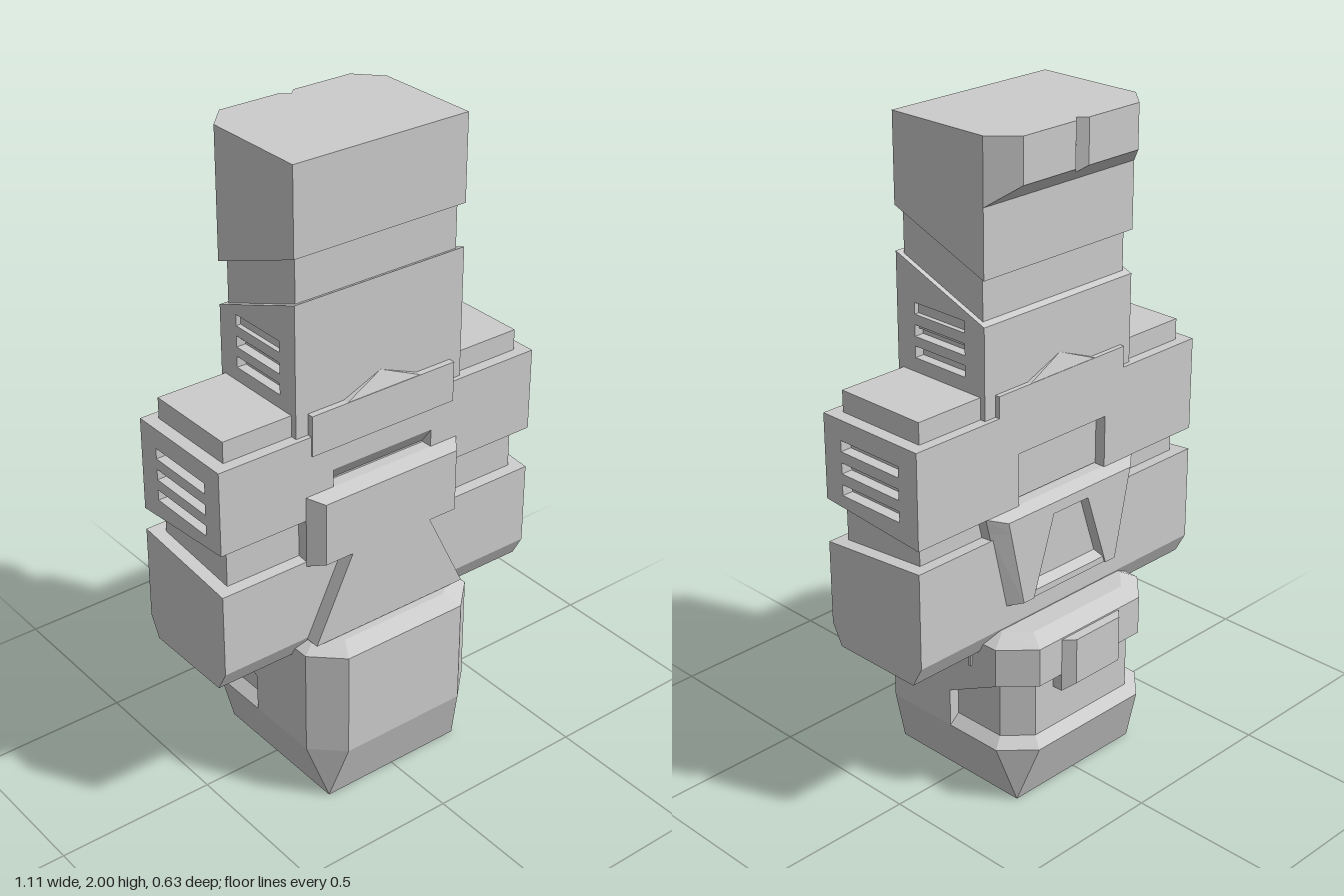
import * as THREE from 'three';
import { ConvexGeometry } from 'three/addons/geometries/ConvexGeometry.js';

export function createModel() {
  const model = new THREE.Group();
  const mat = new THREE.MeshStandardMaterial({ color: 0xcccccc, flatShading: true });

  const add = (name, geometry) => {
    const mesh = new THREE.Mesh(geometry, mat);
    mesh.name = name;
    model.add(mesh);
    return mesh;
  };
  const box = (name, x0, x1, y0, y1, z0, z1) =>
    add(name, new THREE.BoxGeometry(x1 - x0, y1 - y0, z1 - z0)
      .translate((x0 + x1) / 2, (y0 + y1) / 2, (z0 + z1) / 2));
  // Convex solid around a few corner points
  const hull = (name, pts) => add(name, new ConvexGeometry(pts.map(p => new THREE.Vector3(...p))));
  // Each corner repeated on both sides of x = 0
  const both = pts => pts.flatMap(([x, y, z]) => [[x, y, z], [-x, y, z]]);
  const polygon = pts => new THREE.Shape(pts.map(p => new THREE.Vector2(...p)));

  // Side profile of [z, y] points, extruded from x0 to x1, with rectangular slots
  const slab = (name, profile, x0, x1, slots = []) => {
    const shape = polygon(profile.map(([z, y]) => [-z, y]));
    for (const [z0, z1, y0, y1] of slots) {
      shape.holes.push(polygon([[-z0, y0], [-z0, y1], [-z1, y1], [-z1, y0]]));
    }
    const geo = new THREE.ExtrudeGeometry(shape, { depth: x1 - x0, bevelEnabled: false });
    return add(name, geo.rotateY(Math.PI / 2).translate(x0, 0, 0));
  };
  // Front outline of [x, y] points, extruded from z0 to z1
  const plate = (name, outline, z0, z1) =>
    add(name, new THREE.ExtrudeGeometry(polygon(outline), { depth: z1 - z0, bevelEnabled: false })
      .translate(0, 0, z0));
  // Solid core with a slotted skin on each side
  const slotted = (name, profile, half, skin, slots) => {
    slab(name + 'LeftSide', profile, half - skin, half, slots);
    slab(name + 'RightSide', profile, -half, skin - half, slots);
  };

  // Top block with slanted underside
  slab('topBlock', [[0.185, 2], [0.185, 1.74], [-0.155, 1.61], [-0.155, 2]], -0.29, 0.29);

  // Notched ledge on the back of the top block, underside rising outward
  const ledge = new THREE.ExtrudeGeometry(polygon([
    [-0.29, -0.155], [-0.22, -0.23], [-0.025, -0.23], [0, -0.207],
    [0.025, -0.23], [0.22, -0.23], [0.29, -0.155],
  ]), { depth: 0.19, bevelEnabled: false }).rotateX(Math.PI / 2).translate(0, 2, 0);
  const lp = ledge.attributes.position;
  for (let i = 0; i < lp.count; i++) {
    if (lp.getY(i) < 1.9) lp.setY(i, 1.81 + 0.06 * (-lp.getZ(i) - 0.155) / 0.075);
  }
  add('topBackLedge', ledge);

  box('neck', -0.275, 0.275, 1.4, 1.75, -0.135, 0.168);

  // Upper block with vents
  const upper = [[0.185, 1.61], [0.185, 1.15], [-0.155, 1.15], [-0.155, 1.48]];
  slab('upperBlockCore', upper, -0.26, 0.26);
  slotted('upperBlock', upper, 0.29, 0.03,
    [1.445, 1.38, 1.317].map(y => [-0.08, 0.115, y, y + 0.034]));

  // Collar, its peaks and the shoulder caps
  box('collar', -0.25, 0.25, 1.15, 1.275, -0.17, 0.205);
  for (const [z, zOut] of [[0.185, 0.205], [-0.155, -0.17]]) {
    hull('collarPeak', [[-0.14, 1.27, zOut], [0.14, 1.27, zOut], [-0.14, 1.27, z],
      [0.14, 1.27, z], [0, 1.327, z]]);
  }
  for (const s of [-1, 1]) {
    box('shoulderCap', s > 0 ? 0.28 : -0.515, s > 0 ? 0.515 : -0.28, 1.2, 1.275, -0.138, 0.165);
  }

  // Chest: core, vented sides, and front and back plates with a central recess
  const chest = [[0.2, 1.21], [0.2, 0.95], [-0.17, 0.92], [-0.17, 1.21]];
  slab('chestCore', [[0.165, 1.21], [0.165, 0.947], [-0.135, 0.923], [-0.135, 1.21]], -0.52, 0.52);
  slotted('chest', chest, 0.555, 0.035,
    [1.115, 1.048, 0.982].map(y => [-0.097, 0.132, y, y + 0.033]));
  const recessed = y => [[-0.52, y], [-0.175, y], [-0.175, 1.08], [0.175, 1.08],
    [0.175, y], [0.52, y], [0.52, 1.21], [-0.52, 1.21]];
  plate('chestFrontPlate', recessed(0.95), 0.165, 0.2);
  plate('chestBackPlate', recessed(0.92), -0.17, -0.135);
  slab('recessSlope', [[0.2, 1.08], [0.165, 1.03], [0.16, 1.08]], -0.175, 0.175);

  // Waist groove and lower body
  box('waist', -0.515, 0.515, 0.75, 1.0, -0.13, 0.165);
  slab('lowerBody', [[0.2, 0.815], [0.2, 0.555], [0.165, 0.49], [-0.135, 0.49],
    [-0.17, 0.555], [-0.17, 0.85]], -0.555, 0.555);

  // Front shield: bevelled upper plate and flared lower plate
  hull('shieldUpper', both([[0.235, 0.813, 0.245], [0.235, 1.01, 0.245],
    [0.27, 0.8, 0.2], [0.27, 1.025, 0.2], [0.27, 0.8, 0.15], [0.27, 1.025, 0.15]]));
  plate('shieldLower', [[-0.27, 0.55], [0.27, 0.55], [0.14, 0.815], [-0.14, 0.815]], 0.15, 0.245);

  // Tapered back frame around a trapezoid groove
  hull('backFrameTop', both([[0.25, 0.905, -0.205], [0.3, 0.92, -0.165], [0.3, 0.92, -0.13],
    [0.242, 0.87, -0.205], [0.287, 0.87, -0.165], [0.287, 0.87, -0.13]]));
  for (const s of [-1, 1]) {
    hull('backFrameSide', [[0.242, 0.87, -0.205], [0.287, 0.87, -0.165], [0.287, 0.87, -0.13],
      [0.07, 0.87, -0.205], [0.07, 0.87, -0.13], [0.19, 0.63, -0.205], [0.23, 0.62, -0.165],
      [0.23, 0.62, -0.13], [0.15, 0.63, -0.205], [0.15, 0.62, -0.13]]
      .map(([x, y, z]) => [x * s, y, z]));
  }
  hull('backFrameSill', both([[0.15, 0.62, -0.13], [0.15, 0.62, -0.18], [0.15, 0.63, -0.2],
    [0.15, 0.65, -0.2], [0.15, 0.665, -0.17], [0.15, 0.665, -0.13]]));

  // Foot half rings: chamfered corner points at a height, shrunk by an inset
  const frontRing = (y, d = 0) => both([[0.3 - d, y, -0.01], [0.3 - d, y, 0.23 - d / 2],
    [0.21 - d / 2, y, 0.315 - d]]);
  const backRing = (y, d = 0) => both([[0.3 - d, y, -0.01], [0.3 - d, y, -0.2 + d / 2],
    [0.21 - d / 2, y, -0.287 + d]]);

  hull('footBase', [...both([[0.24, 0, 0.26], [0.24, 0, -0.225]]),
    ...frontRing(0.185), ...backRing(0.185)]);
  hull('footFront', [...frontRing(0.185), ...frontRing(0.52)]);
  hull('footCore', [...backRing(0.18, 0.033), ...backRing(0.5, 0.033)]);
  hull('footSill', [...backRing(0.185), ...backRing(0.213, 0.033)]);
  hull('footTop', [...frontRing(0.52), ...backRing(0.52),
    ...frontRing(0.547, 0.05), ...backRing(0.547, 0.05)]);
  // Band over the back opening, its lower edge sloping on the sides
  hull('footSideBand', both([[0.3, 0.305, -0.01], [0.3, 0.52, -0.01],
    [0.3, 0.4, -0.2], [0.3, 0.52, -0.2]]));
  hull('footBackBand', both([[0.3, 0.4, -0.2], [0.3, 0.52, -0.2],
    [0.21, 0.4, -0.287], [0.21, 0.52, -0.287]]));

  // Hanging block at the back of the foot, and the side pins
  hull('footBackBlock', both([[0.12, 0.345, -0.25], [0.12, 0.515, -0.25], [0.12, 0.345, -0.287],
    [0.12, 0.515, -0.287], [0.09, 0.37, -0.317], [0.09, 0.515, -0.317]]));
  for (const s of [-1, 1]) {
    box('footPin', s * 0.3 - 0.006, s * 0.3 + 0.006, 0.43, 0.5, -0.104, -0.096);
  }

  return model;
}
